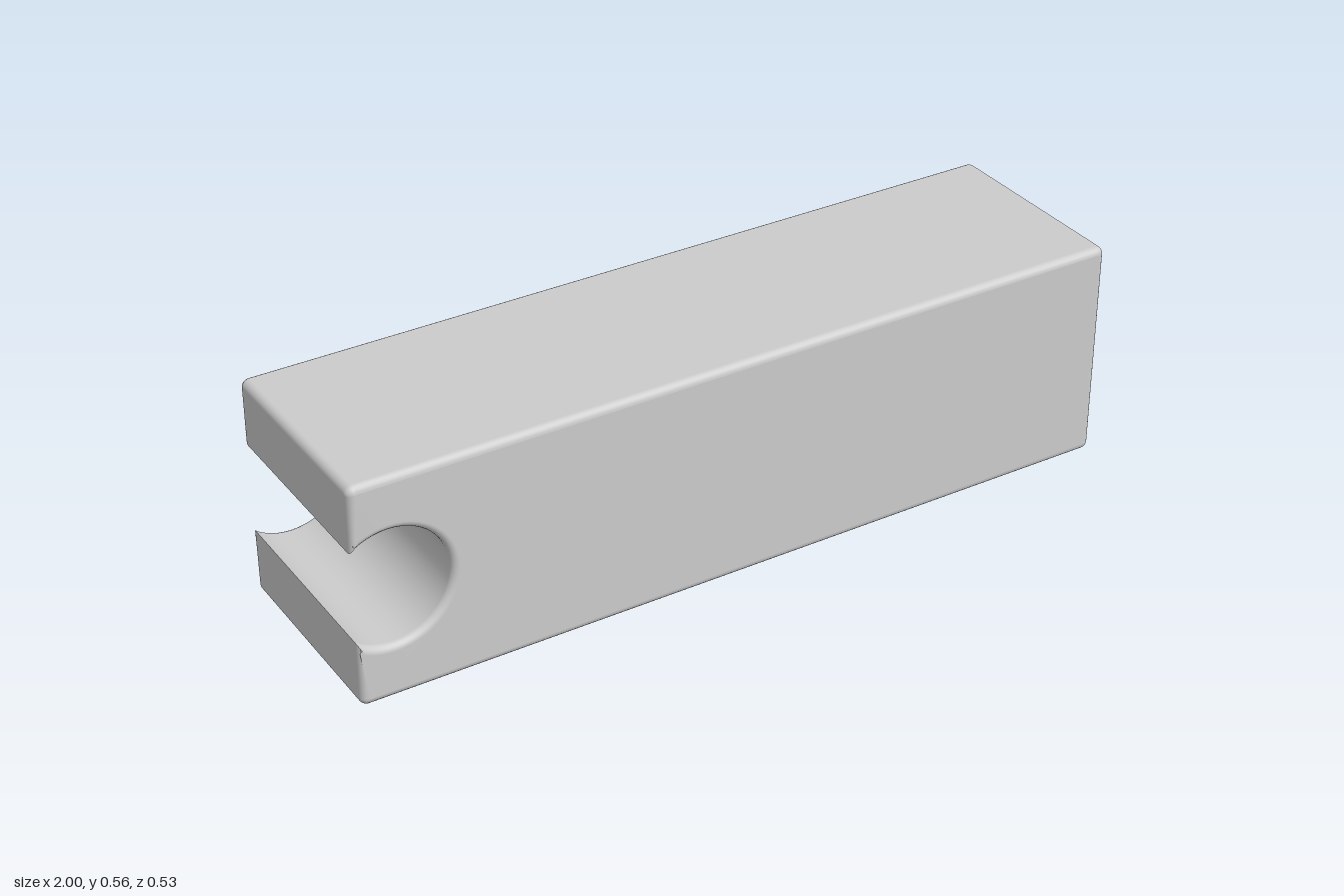
import * as THREE from 'three';

const HEIGHT = 0.565, HALF_DEPTH = 0.267, CORNER = 0.02, BEVEL = 0.018;
const SLOT = { x: -0.91, y: 0.284, r: 0.146 };

// Area-weighted smooth normals that keep edges above the crease angle sharp
function creaseNormals(source, crease) {
  const geo = source.index ? source.toNonIndexed() : source;
  const pos = geo.attributes.position, faces = [], shared = new Map();
  const p = [0, 1, 2].map(() => new THREE.Vector3());
  const key = (i) => [pos.getX(i), pos.getY(i), pos.getZ(i)].map((v) => Math.round(v * 1e5)).join();
  for (let i = 0; i < pos.count; i++) {
    if (i % 3 === 0) {
      p.forEach((v, k) => v.fromBufferAttribute(pos, i + k));
      const sum = p[1].clone().sub(p[0]).cross(p[2].clone().sub(p[0]));
      faces.push({ sum, unit: sum.clone().normalize() });
    }
    const k = key(i);
    if (!shared.has(k)) shared.set(k, []);
    shared.get(k).push(faces[faces.length - 1]);
  }
  const limit = Math.cos(crease), n = new THREE.Vector3();
  for (let i = 0; i < pos.count; i++) {
    const own = faces[Math.floor(i / 3)].unit;
    n.set(0, 0, 0);
    for (const f of shared.get(key(i))) if (f.unit.dot(own) > limit) n.add(f.sum);
    n.normalize();
    geo.attributes.normal.setXYZ(i, n.x, n.y, n.z);
  }
  return geo;
}

// Side outline: rounded rectangle with a round slot open through one end
function blockOutline() {
  const a = Math.acos((-1 - SLOT.x) / SLOT.r), rise = SLOT.r * Math.sin(a), c = CORNER;
  const s = new THREE.Shape();
  s.moveTo(-1, SLOT.y - rise);
  s.lineTo(-1, c);
  s.absarc(-1 + c, c, c, Math.PI, Math.PI * 1.5, false);
  s.absarc(1 - c, c, c, -Math.PI / 2, 0, false);
  s.absarc(1 - c, HEIGHT - c, c, 0, Math.PI / 2, false);
  s.absarc(-1 + c, HEIGHT - c, c, Math.PI / 2, Math.PI, false);
  s.absarc(SLOT.x, SLOT.y, SLOT.r, a, -a, true);
  return s;
}

export function createModel() {
  const group = new THREE.Group();
  group.name = 'slottedBlock';

  // Solid bar with softened edges all round, including the slot rims
  const geo = new THREE.ExtrudeGeometry(blockOutline(), {
    depth: 2 * (HALF_DEPTH - BEVEL),
    curveSegments: 20,
    bevelEnabled: true,
    bevelThickness: BEVEL,
    bevelSize: BEVEL,
    bevelOffset: -BEVEL,
    bevelSegments: 5,
  });
  geo.translate(0, 0, BEVEL - HALF_DEPTH);

  const block = new THREE.Mesh(
    creaseNormals(geo, 0.7),
    new THREE.MeshStandardMaterial({ color: 0xcccccc })
  );
  block.name = 'block';
  group.add(block);
  return group;
}
